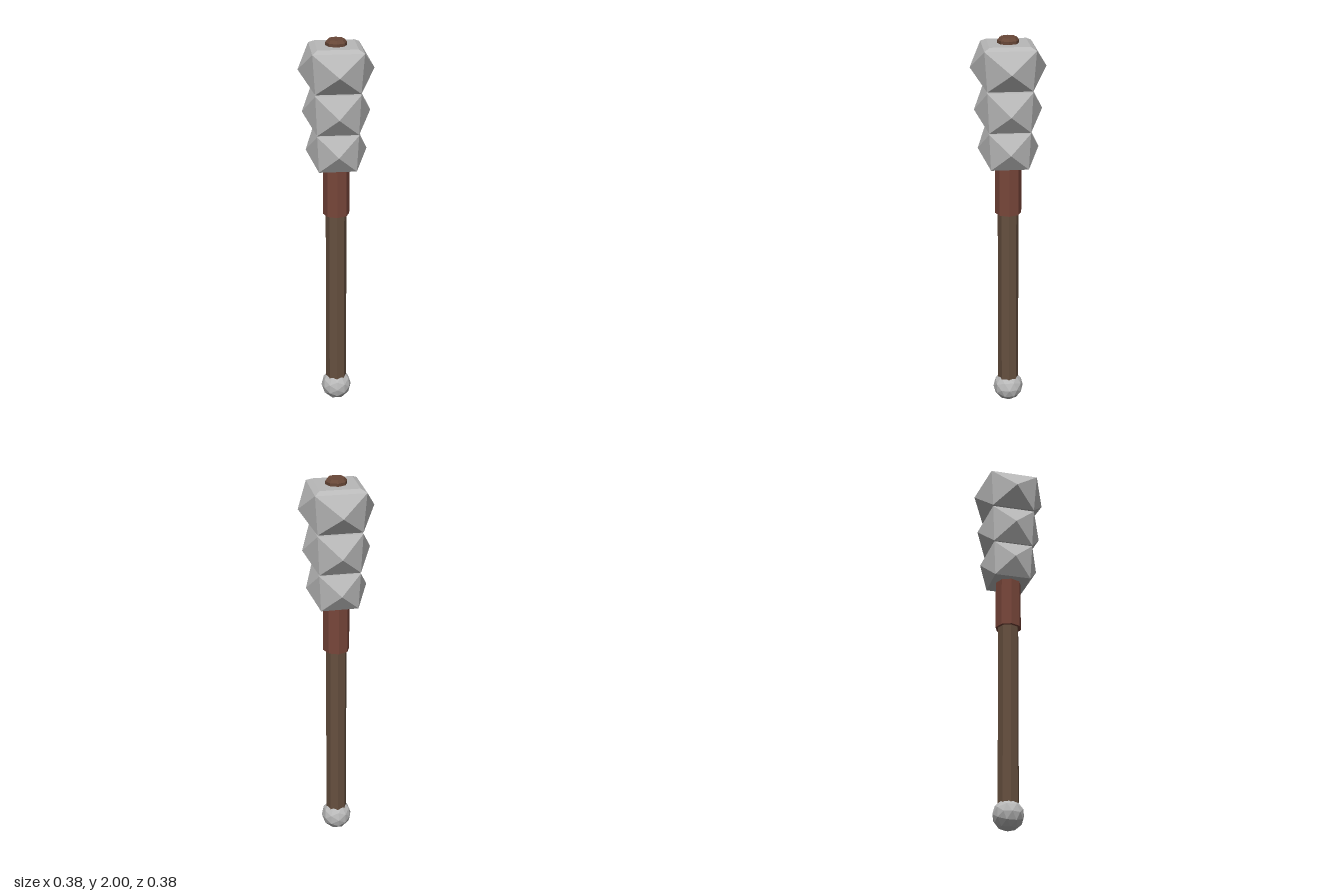
import * as THREE from 'three';

const paint = (color) => new THREE.MeshStandardMaterial({ color, flatShading: true });

// Head block: square rings [half width, y] stacked upwards, capped at both
// ends; the first band of each side rises to a pyramid point.
function spikedBlock(rings, spikeReach, spikeY) {
  const pos = [];
  const tri = (...pts) => pts.forEach((p) => pos.push(...p));
  const quad = (a, b, c, d) => { tri(a, b, c); tri(a, c, d); };
  const corners = ([h, y]) => [[h, y, -h], [-h, y, -h], [-h, y, h], [h, y, h]];
  const directions = [[0, -1], [-1, 0], [0, 1], [1, 0]];

  directions.forEach(([dx, dz], i) => {
    const next = (i + 1) % 4;
    for (let r = 0; r < rings.length - 1; r++) {
      const low = corners(rings[r]), high = corners(rings[r + 1]);
      const loop = [low[i], low[next], high[next], high[i]];
      if (r === 0) {
        const tip = [dx * spikeReach, spikeY, dz * spikeReach];
        loop.forEach((p, k) => tri(p, loop[(k + 1) % 4], tip));
      } else quad(...loop);
    }
  });
  quad(...corners(rings[0]).reverse());
  quad(...corners(rings[rings.length - 1]));

  const g = new THREE.BufferGeometry();
  g.setAttribute('position', new THREE.Float32BufferAttribute(pos, 3));
  g.computeVertexNormals();
  return g;
}

// Eight-sided turned piece from [radius, y] pairs, bottom to top
const turned = (points) => new THREE.LatheGeometry(points.map(([r, y]) => new THREE.Vector2(r, y)), 8);

export function createModel() {
  const group = new THREE.Group();
  const wood = paint(0x66503f), endWood = paint(0x694838);
  const leather = paint(0x78463a), metal = paint(0xb9b9b9);

  const add = (name, geometry, material, y = 0) => {
    const mesh = new THREE.Mesh(geometry, material);
    mesh.name = name;
    mesh.position.y = y;
    group.add(mesh);
  };

  // Shaft, and its chamfered end above the head
  add('shaft', turned([[0, 0.06], [0.054, 0.06], [0.054, 1.9], [0, 1.9]]), wood);
  add('shaftEnd', turned([[0, 1.92], [0.054, 1.92], [0.054, 1.985], [0.042, 2], [0, 2]]), endWood);

  // Sleeve below the head
  add('sleeve', new THREE.CylinderGeometry(0.068, 0.068, 0.27, 8), leather, 1.22);

  // Faceted ball at the foot
  add('pommel', new THREE.IcosahedronGeometry(0.08, 1), metal, 0.08);

  // Three studded blocks, growing towards the top
  add('lowerBlock', spikedBlock([[0.095, 1.345], [0.104, 1.535]], 0.154, 1.437), metal);
  add('middleBlock', spikedBlock([[0.104, 1.54], [0.113, 1.745]], 0.171, 1.637), metal);
  add('upperBlock', spikedBlock([[0.113, 1.752], [0.127, 1.955], [0.1, 1.97]], 0.19, 1.852), metal);

  return group;
}
